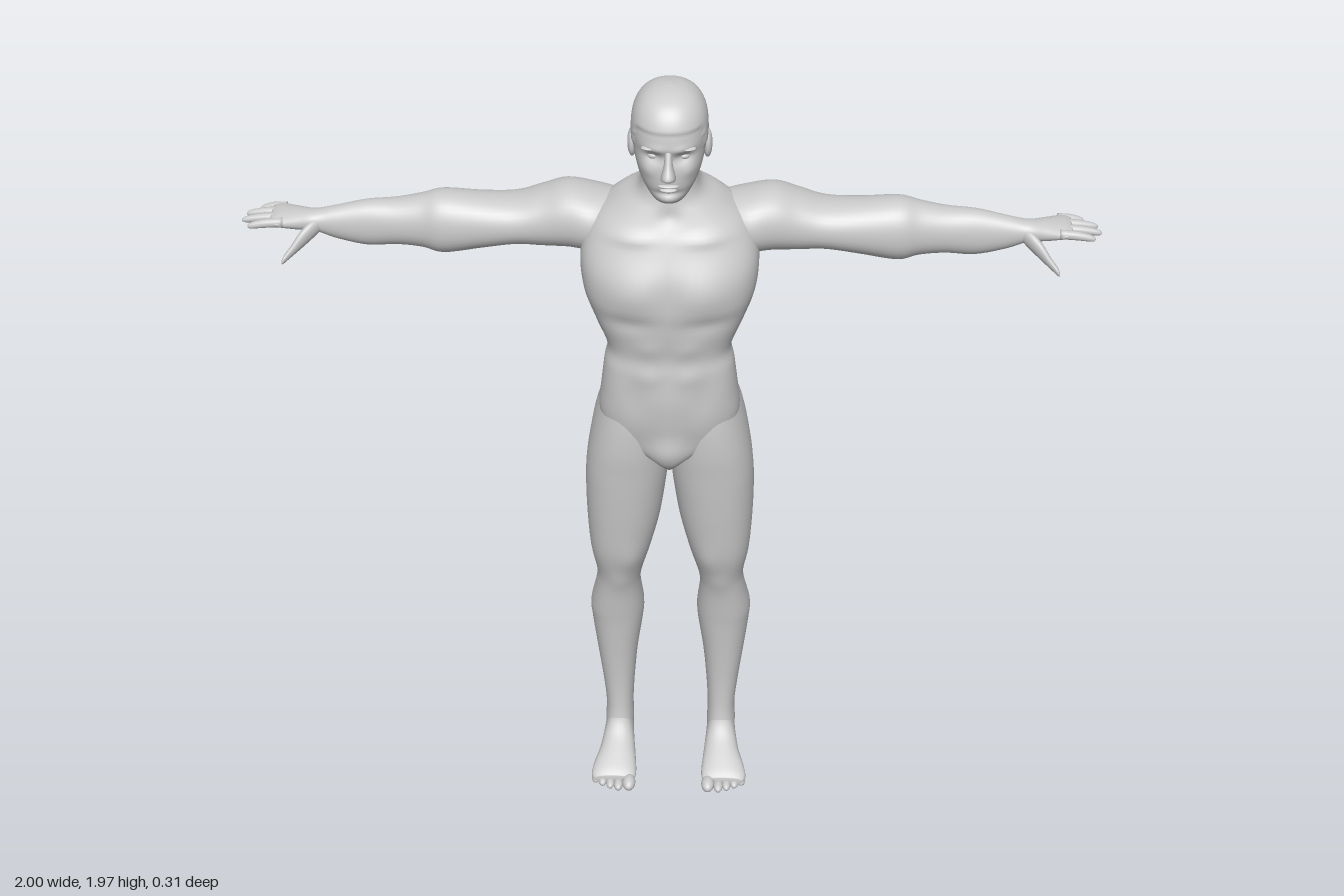
import * as THREE from 'three';

const skin = new THREE.MeshStandardMaterial({ color: 0xcccccc });
skin.name = 'plain grey';

const AXES = { x: ['x', 'y', 'z'], y: ['y', 'z', 'x'], z: ['z', 'x', 'y'] };

// Catmull-Rom blend of four numbers
function spline(a, b, c, d, t) {
  const m = (c - a) / 2, n = (d - b) / 2, t2 = t * t, t3 = t2 * t;
  return b * (2 * t3 - 3 * t2 + 1) + m * (t3 - 2 * t2 + t) + c * (3 * t2 - 2 * t3) + n * (t3 - t2);
}

// Smooth skin over rings [position, aMin, aMax, bMin, bMax] along an axis
function loft(axis, rings, { seg = 32, sub = 5, power = 2.2, deform } = {}) {
  const [u, a, b] = AXES[axis], pos = [], idx = [], v = new THREE.Vector3();
  const put = () => { if (deform) deform(v); pos.push(v.x, v.y, v.z); };
  const bend = s => Math.sign(s) * Math.abs(s) ** (2 / power);
  const last = rings.length - 1, rows = last * sub + 1;
  for (let i = 0; i < rows; i++) {
    const k = Math.min(Math.floor(i / sub), last - 1), t = i / sub - k;
    const r = rings[k].map((_, c) => spline(rings[Math.max(k - 1, 0)][c], rings[k][c],
      rings[k + 1][c], rings[Math.min(k + 2, last)][c], t));
    for (let j = 0; j < seg; j++) {
      const w = j / seg * Math.PI * 2;
      v[u] = r[0];
      v[a] = (r[1] + r[2]) / 2 + (r[2] - r[1]) / 2 * bend(Math.cos(w));
      v[b] = (r[3] + r[4]) / 2 + (r[4] - r[3]) / 2 * bend(Math.sin(w));
      put();
      const p = i * seg + j, q = i * seg + (j + 1) % seg;
      if (i < rows - 1) idx.push(p, q, q + seg, p, q + seg, p + seg);
    }
  }
  // End caps
  [rings[0], rings[last]].forEach((r, e) => {
    v[u] = r[0]; v[a] = (r[1] + r[2]) / 2; v[b] = (r[3] + r[4]) / 2;
    put();
    const centre = rows * seg + e, base = e ? (rows - 1) * seg : 0;
    for (let j = 0; j < seg; j++) {
      const p = base + j, q = base + (j + 1) % seg;
      if (e) idx.push(centre, p, q); else idx.push(centre, q, p);
    }
  });
  const g = new THREE.BufferGeometry();
  g.setAttribute('position', new THREE.Float32BufferAttribute(pos, 3));
  g.setIndex(idx);
  g.computeVertexNormals();
  return g;
}

const ball = (x, y, z, rx, ry, rz) =>
  new THREE.SphereGeometry(1, 20, 14).scale(rx, ry, rz).translate(x, y, z);

// Symmetrical soft swellings [x, y, side, amount, width, height], pushed along z
const bumps = list => v => {
  const z = v.z;
  for (const [x, y, side, amount, sx, sy] of list) {
    const w = THREE.MathUtils.clamp(z * side / 0.05, 0, 1);
    v.z += side * w * amount * Math.exp(-(((Math.abs(v.x) - x) / sx) ** 2) - ((v.y - y) / sy) ** 2);
  }
};

function mirrored(g) {
  const m = g.clone().scale(-1, 1, 1), i = m.index.array;
  for (let k = 0; k < i.length; k += 3) [i[k], i[k + 1]] = [i[k + 1], i[k]];
  m.computeVertexNormals();
  return m;
}

// Ring centred on x = 0
const mid = ([y, back, front, half]) => [y, back, front, -half, half];

export function createModel() {
  const model = new THREE.Group();
  model.name = 'standingFigure';
  const add = (name, g) => {
    const m = new THREE.Mesh(g, skin);
    m.name = name;
    model.add(m);
  };
  const pair = (name, g) => { add('left' + name, g); add('right' + name, mirrored(g)); };

  // Torso with pectorals, shoulder blades, belly line and spine groove
  add('torso', loft('y', [
    [0.97, -0.03, 0.08, 0.02], [1.0, -0.06, 0.105, 0.05], [1.06, -0.085, 0.112, 0.15],
    [1.12, -0.098, 0.125, 0.168], [1.19, -0.09, 0.133, 0.162], [1.26, -0.075, 0.132, 0.154],
    [1.31, -0.083, 0.13, 0.147], [1.38, -0.115, 0.14, 0.175], [1.45, -0.138, 0.149, 0.2],
    [1.52, -0.15, 0.144, 0.208], [1.58, -0.152, 0.118, 0.2], [1.63, -0.15, 0.092, 0.175],
    [1.67, -0.14, 0.075, 0.125], [1.7, -0.122, 0.067, 0.077], [1.75, -0.095, 0.06, 0.061],
    [1.82, -0.075, 0.05, 0.055]].map(mid), {
    seg: 64, sub: 6, power: 2.4, deform: bumps([
      [0.085, 1.49, 1, 0.008, 0.06, 0.045], [0, 1.49, 1, -0.008, 0.018, 0.07],
      [0.09, 1.41, 1, -0.006, 0.06, 0.02], [0, 1.29, 1, -0.005, 0.012, 0.11],
      [0.045, 1.34, 1, 0.004, 0.03, 0.022], [0.045, 1.26, 1, 0.004, 0.03, 0.025],
      [0.08, 1.2, 1, -0.005, 0.03, 0.05], [0.09, 1.615, 1, 0.008, 0.06, 0.014],
      [0, 1.04, 1, 0.014, 0.035, 0.04], [0, 1.66, 1, -0.008, 0.02, 0.02],
      [0, 1.46, -1, -0.022, 0.028, 0.15], [0.1, 1.53, -1, 0.006, 0.05, 0.06],
      [0.045, 1.27, -1, 0.008, 0.03, 0.07]])
  }));

  // Head: sockets, cheeks, chin and a slightly raised cap of short hair
  const face = bumps([
    [0.034, 1.83, 1, -0.012, 0.02, 0.014], [0.03, 1.853, 1, 0.005, 0.028, 0.01],
    [0.05, 1.795, 1, 0.004, 0.016, 0.016], [0, 1.74, 1, -0.006, 0.03, 0.008],
    [0, 1.722, 1, 0.005, 0.022, 0.012]]);
  const step = THREE.MathUtils.smoothstep;
  add('head', loft('y', [
    [1.698, 0.01, 0.07, 0.02], [1.715, -0.015, 0.095, 0.04], [1.75, -0.05, 0.106, 0.062],
    [1.79, -0.078, 0.11, 0.076], [1.83, -0.091, 0.109, 0.083], [1.87, -0.097, 0.112, 0.085],
    [1.91, -0.094, 0.102, 0.08], [1.938, -0.077, 0.08, 0.064], [1.956, -0.045, 0.045, 0.038],
    [1.963, -0.01, 0.01, 0.008]].map(mid), {
    seg: 72, sub: 9, deform: v => {
      face(v);
      const hairline = 1.893 - 0.055 * step(-v.z, -0.065, -0.045) - 0.06 * step(-v.z, -0.02, 0.03);
      const lift = 1 + 0.035 * step(v.y, hairline - 0.003, hairline + 0.003);
      v.x *= lift; v.z *= lift;
      v.y += (lift - 1) * 0.13 * step(v.y, 1.9, 1.96);
    }
  }));
  add('nose', loft('y', [
    [1.776, 0.09, 0.112, 0.006], [1.784, 0.09, 0.132, 0.017], [1.795, 0.09, 0.145, 0.016],
    [1.82, 0.09, 0.129, 0.01], [1.85, 0.09, 0.113, 0.008]].map(mid), { seg: 20 }));
  add('upperLip', ball(0, 1.762, 0.105, 0.024, 0.005, 0.011));
  add('lowerLip', ball(0, 1.751, 0.103, 0.02, 0.006, 0.011));
  pair('Eye', ball(0.034, 1.83, 0.083, 0.014, 0.009, 0.012));
  pair('Eyebrow', ball(0.036, 1.853, 0.097, 0.022, 0.004, 0.012).rotateY(0.04));
  pair('Ear', ball(0.086, 1.815, -0.003, 0.011, 0.036, 0.02).rotateY(0.05));

  // Arms held straight out, running into the palms
  pair('Arm', loft('x', [
    [0.09, 1.55, 1.645, -0.12, -0.01], [0.17, 1.52, 1.663, -0.15, 0.03],
    [0.24, 1.518, 1.672, -0.155, 0.018], [0.3, 1.515, 1.652, -0.155, 0.004],
    [0.36, 1.518, 1.634, -0.148, 0], [0.44, 1.507, 1.637, -0.137, 0],
    [0.53, 1.492, 1.645, -0.132, -0.001], [0.58, 1.502, 1.632, -0.125, -0.014],
    [0.64, 1.507, 1.621, -0.116, -0.022], [0.71, 1.504, 1.617, -0.105, -0.027],
    [0.78, 1.522, 1.604, -0.092, -0.03], [0.83, 1.543, 1.594, -0.088, -0.03],
    [0.87, 1.553, 1.597, -0.094, -0.016], [0.91, 1.567, 1.599, -0.101, -0.002],
    [0.93, 1.575, 1.593, -0.098, -0.006]], { seg: 36 }));

  // Four fingers, then the thumb dropping forward
  [[-0.09, -0.096, 0.963], [-0.065, -0.07, 0.993], [-0.039, -0.04, 1], [-0.014, -0.011, 0.983]]
    .forEach(([z0, z1, tip], i) => {
      const rings = [[0, 0.011], [0.45, 0.0105], [0.8, 0.0085], [0.95, 0.006], [1, 0.002]].map(([t, r]) => {
        const x = 0.9 + (tip - 0.9) * t, y = 1.585 - 0.01 * t * t, z = z0 + (z1 - z0) * t;
        return [x, y - r, y + r, z - r, z + r];
      });
      pair('Finger' + (i + 1), loft('x', rings, { seg: 14, sub: 4 }));
    });
  pair('Thumb', loft('x', [
    [0.815, 1.55, 1.58, -0.06, -0.035], [0.835, 1.535, 1.58, -0.055, -0.014],
    [0.86, 1.52, 1.562, -0.03, 0.008], [0.882, 1.508, 1.535, -0.002, 0.024],
    [0.898, 1.499, 1.517, 0.014, 0.036], [0.903, 1.499, 1.506, 0.026, 0.034]], { seg: 18 }));

  // Legs: ankle, calf, knee, thigh and buttock
  pair('Leg', loft('y', [
    [0.03, -0.12, -0.01, 0.1, 0.165], [0.08, -0.123, -0.012, 0.096, 0.169],
    [0.14, -0.12, -0.02, 0.097, 0.167], [0.22, -0.127, -0.02, 0.093, 0.175],
    [0.32, -0.139, -0.012, 0.084, 0.188], [0.42, -0.15, 0, 0.07, 0.2],
    [0.47, -0.142, 0.008, 0.068, 0.202], [0.55, -0.108, 0.022, 0.075, 0.187],
    [0.6, -0.1, 0.034, 0.07, 0.184], [0.68, -0.105, 0.06, 0.049, 0.197],
    [0.78, -0.114, 0.077, 0.025, 0.204], [0.88, -0.117, 0.09, 0.01, 0.206],
    [0.95, -0.112, 0.098, 0.003, 0.203], [1.02, -0.124, 0.106, 0, 0.194],
    [1.1, -0.137, 0.108, 0, 0.178], [1.16, -0.115, 0.1, 0.015, 0.158],
    [1.21, -0.07, 0.07, 0.04, 0.13]], {
    seg: 40, deform: bumps([
      [0.125, 0.585, 1, 0.007, 0.03, 0.035], [0.13, 0.53, -1, -0.006, 0.02, 0.04],
      [0.09, 0.67, 1, 0.005, 0.03, 0.05], [0.135, 0.4, -1, -0.005, 0.012, 0.07]])
  }));

  // Feet and toes
  pair('Foot', loft('z', [
    [-0.131, 0.12, 0.148, 0.018, 0.045], [-0.122, 0.104, 0.162, 0.004, 0.075],
    [-0.08, 0.097, 0.168, 0, 0.105], [-0.02, 0.094, 0.172, 0, 0.112],
    [0.03, 0.089, 0.181, 0, 0.083], [0.075, 0.085, 0.195, 0, 0.06],
    [0.105, 0.085, 0.199, 0.002, 0.044], [0.122, 0.092, 0.192, 0.008, 0.032]], { seg: 28 }));
  [[0.102, 0.128, 0.017, 0.028], [0.129, 0.13, 0.012, 0.023], [0.15, 0.124, 0.011, 0.021],
    [0.17, 0.116, 0.011, 0.019], [0.188, 0.105, 0.011, 0.018]].forEach(([x, z, r, length], i) =>
    pair('Toe' + (i + 1), ball(x, r + 0.001, z, r, r, length)));

  return model;
}
